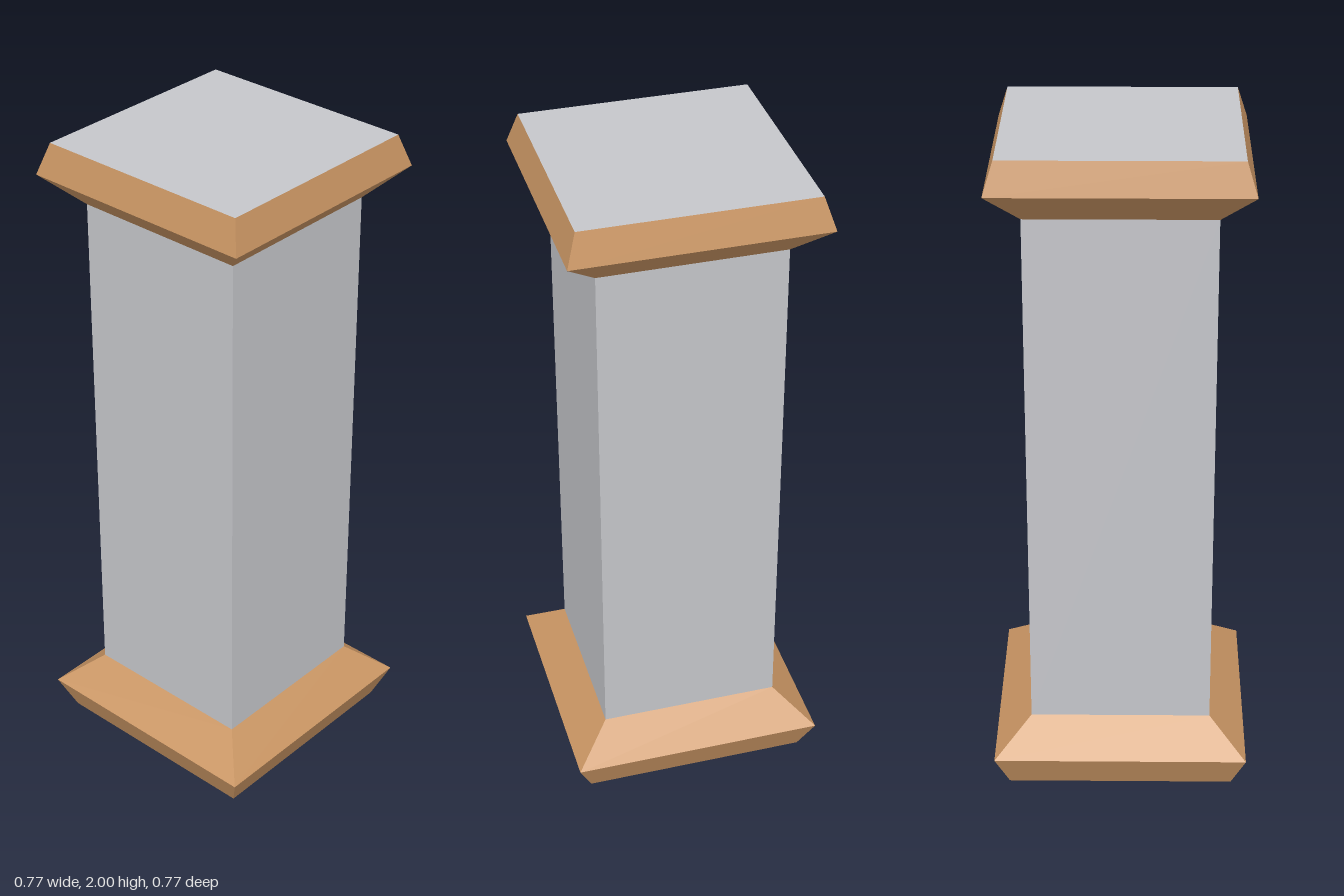
import * as THREE from 'three';

const stone = new THREE.MeshStandardMaterial({ name: 'paleStone', color: 0xc5c6ca });
const wood = new THREE.MeshStandardMaterial({ name: 'warmWood', color: 0xc99563 });

// Open square frustum between two heights, given half widths at each end
function frustum(name, y0, half0, y1, half1, material) {
  const geometry = new THREE.CylinderGeometry(
    half1 * Math.SQRT2, half0 * Math.SQRT2, y1 - y0, 4, 1, true
  ).rotateY(Math.PI / 4).toNonIndexed();
  geometry.computeVertexNormals();
  const mesh = new THREE.Mesh(geometry, material);
  mesh.name = name;
  mesh.position.y = (y0 + y1) / 2;
  return mesh;
}

// Flat square end face, facing up (1) or down (-1)
function endFace(name, y, half, facing) {
  const geometry = new THREE.PlaneGeometry(half * 2, half * 2).rotateX(-facing * Math.PI / 2);
  const mesh = new THREE.Mesh(geometry, stone);
  mesh.name = name;
  mesh.position.y = y;
  return mesh;
}

export function createModel() {
  const pillar = new THREE.Group();
  pillar.name = 'pillar';

  // Flared base moulding
  const base = new THREE.Group();
  base.name = 'base';
  base.add(
    endFace('baseUnderside', 0, 0.34, -1),
    frustum('baseLowerBevel', 0, 0.34, 0.102, 0.383, wood),
    frustum('baseUpperBevel', 0.102, 0.383, 0.198, 0.273, wood)
  );

  // Square shaft
  const shaft = frustum('shaft', 0.198, 0.273, 1.81, 0.273, stone);

  // Flared capital moulding
  const capital = new THREE.Group();
  capital.name = 'capital';
  capital.add(
    frustum('capitalLowerBevel', 1.81, 0.273, 1.905, 0.37, wood),
    frustum('capitalUpperBevel', 1.905, 0.37, 2, 0.34, wood),
    endFace('capitalTop', 2, 0.34, 1)
  );

  pillar.add(base, shaft, capital);
  return pillar;
}
